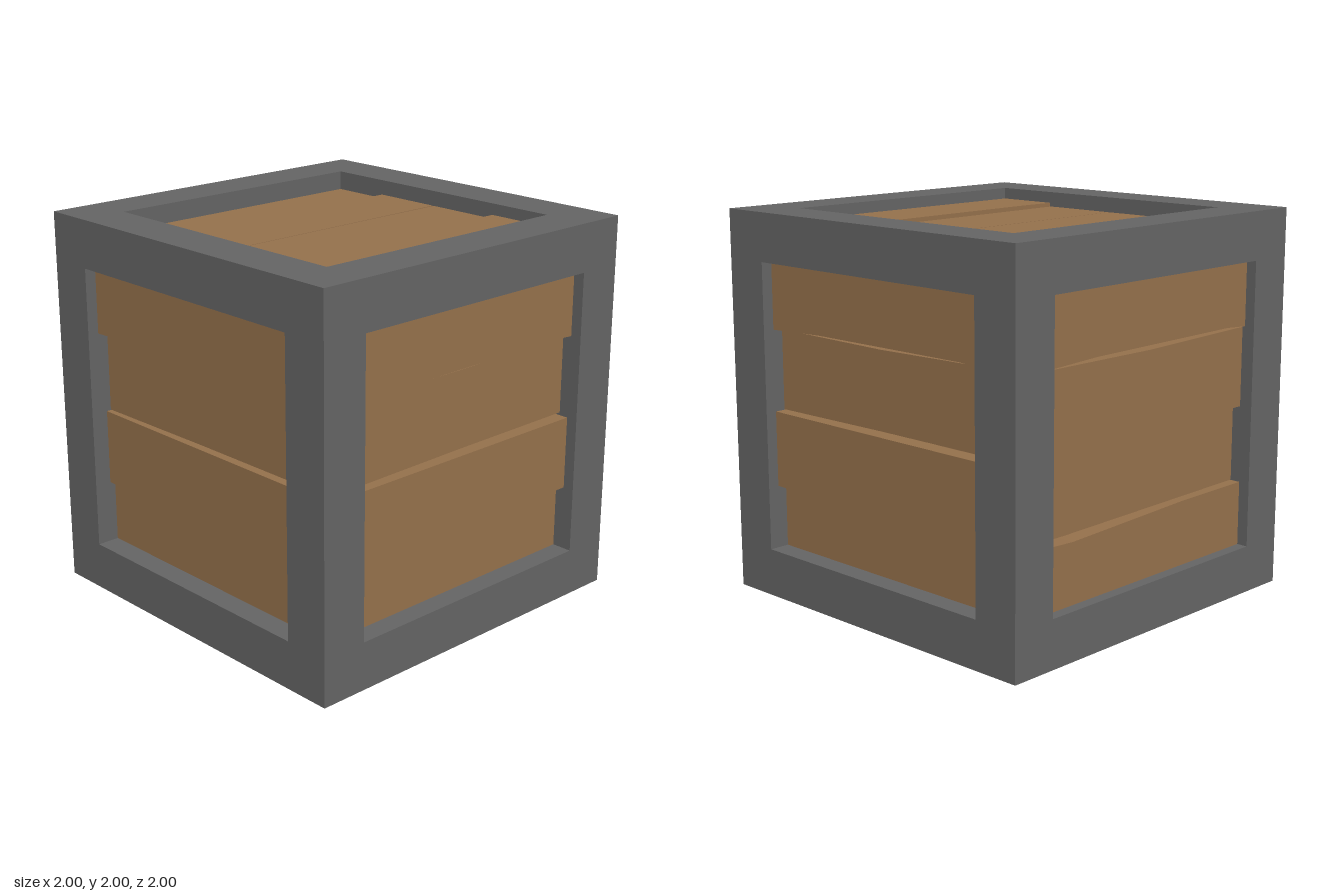
import * as THREE from 'three';

const metal = new THREE.MeshStandardMaterial({ color: 0x646464 });
metal.name = 'frameGrey';
const wood = new THREE.MeshStandardMaterial({ color: 0x94704b });
wood.name = 'plankBrown';

const BEAM = 0.25;      // beam width
const OPEN = 0.75;      // half of each opening
const PLANK = 0.09;     // plank thickness

// Crooked gaps between planks: upper and lower edge, as [across, up] points
const sideGaps = [
  { upper: [[-0.75, 0.4], [-0.4, 0.415], [0.6, 0.42], [0.75, 0.41]], lower: [[-0.75, 0.395], [0, 0.39], [0.75, 0.405]] },
  { upper: [[-0.75, -0.022], [0, -0.013], [0.75, -0.01]], lower: [[-0.75, -0.025], [0.75, -0.025]] },
  { upper: [[-0.75, -0.42], [-0.55, -0.422], [0.75, -0.41]], lower: [[-0.75, -0.43], [-0.55, -0.44], [0.27, -0.414], [0.75, -0.412]] },
];
const topGaps = [
  { upper: [[-0.75, 0.42], [-0.32, 0.421], [0.57, 0.45], [0.75, 0.436]], lower: [[-0.75, 0.418], [0.75, 0.418]] },
  { upper: [[-0.75, 0.03], [0.75, 0.036]], lower: [[-0.75, 0.025], [0.35, 0.027], [0.75, 0.025]] },
  { upper: [[-0.75, -0.395], [0.1, -0.382], [0.75, -0.386]], lower: [[-0.75, -0.405], [-0.55, -0.411], [0.2, -0.4], [0.75, -0.388]] },
];
const flip = (edge) => edge.map(([x, y]) => [x, -y]);
const bottomGaps = topGaps.map((g) => ({ upper: flip(g.lower), lower: flip(g.upper) })).reverse();

// Four planks, first at the top, each sunk by its own depth
function makePanel(name, gaps, depths) {
  const panel = new THREE.Group();
  panel.name = name;
  depths.forEach((depth, i) => {
    const top = i === 0 ? [[-OPEN, OPEN], [OPEN, OPEN]] : gaps[i - 1].lower;
    const bottom = i === 3 ? [[-OPEN, -OPEN], [OPEN, -OPEN]] : gaps[i].upper;
    const outline = [...bottom, ...[...top].reverse()].map(([x, y]) => new THREE.Vector2(x, y));
    const geometry = new THREE.ExtrudeGeometry(new THREE.Shape(outline), { depth: PLANK, bevelEnabled: false });
    geometry.translate(0, 0, 1 - depth - PLANK);
    const plank = new THREE.Mesh(geometry, wood);
    plank.name = `${name}Plank${i + 1}`;
    panel.add(plank);
  });
  panel.position.y = 1;
  return panel;
}

// Outer frame: front and back squares joined by four beams
function makeFrame() {
  const frame = new THREE.Group();
  frame.name = 'frame';
  const c = 1 - BEAM / 2;
  for (const s of [-1, 1]) {
    const square = new THREE.Shape([[-1, -1], [1, -1], [1, 1], [-1, 1]].map(([x, y]) => new THREE.Vector2(x, y)));
    square.holes.push(new THREE.Path(
      [[-OPEN, -OPEN], [-OPEN, OPEN], [OPEN, OPEN], [OPEN, -OPEN]].map(([x, y]) => new THREE.Vector2(x, y))));
    const ring = new THREE.Mesh(new THREE.ExtrudeGeometry(square, { depth: BEAM, bevelEnabled: false }), metal);
    ring.name = s > 0 ? 'frontFrame' : 'backFrame';
    ring.position.set(0, 1, s * c - BEAM / 2);
    frame.add(ring);
    for (const t of [-1, 1]) {
      const beam = new THREE.Mesh(new THREE.BoxGeometry(BEAM, BEAM, 2 * OPEN), metal);
      beam.name = `${t > 0 ? 'top' : 'bottom'}${s > 0 ? 'Left' : 'Right'}Beam`;
      beam.position.set(s * c, 1 + t * c, 0);
      frame.add(beam);
    }
  }
  return frame;
}

export function createModel() {
  const crate = new THREE.Group();
  crate.name = 'crate';
  crate.add(makeFrame());

  // Upright panels, turned a quarter each
  const sides = [
    ['frontPanel', [0.06, 0.11, 0.06, 0.11]],
    ['leftPanel', [0.06, 0.115, 0.06, 0.11]],
    ['backPanel', [0.055, 0.07, 0.115, 0.06]],
    ['rightPanel', [0.06, 0.115, 0.09, 0.12]],
  ];
  sides.forEach(([name, depths], i) => {
    const panel = makePanel(name, sideGaps, depths);
    panel.rotation.y = i * Math.PI / 2;
    crate.add(panel);
  });

  // Lid and floor
  const lid = makePanel('topPanel', topGaps, [0.1, 0.08, 0.08, 0.06]);
  lid.rotation.x = -Math.PI / 2;
  const floor = makePanel('bottomPanel', bottomGaps, [0.06, 0.06, 0.07, 0.06]);
  floor.rotation.x = Math.PI / 2;
  crate.add(lid, floor);
  return crate;
}
